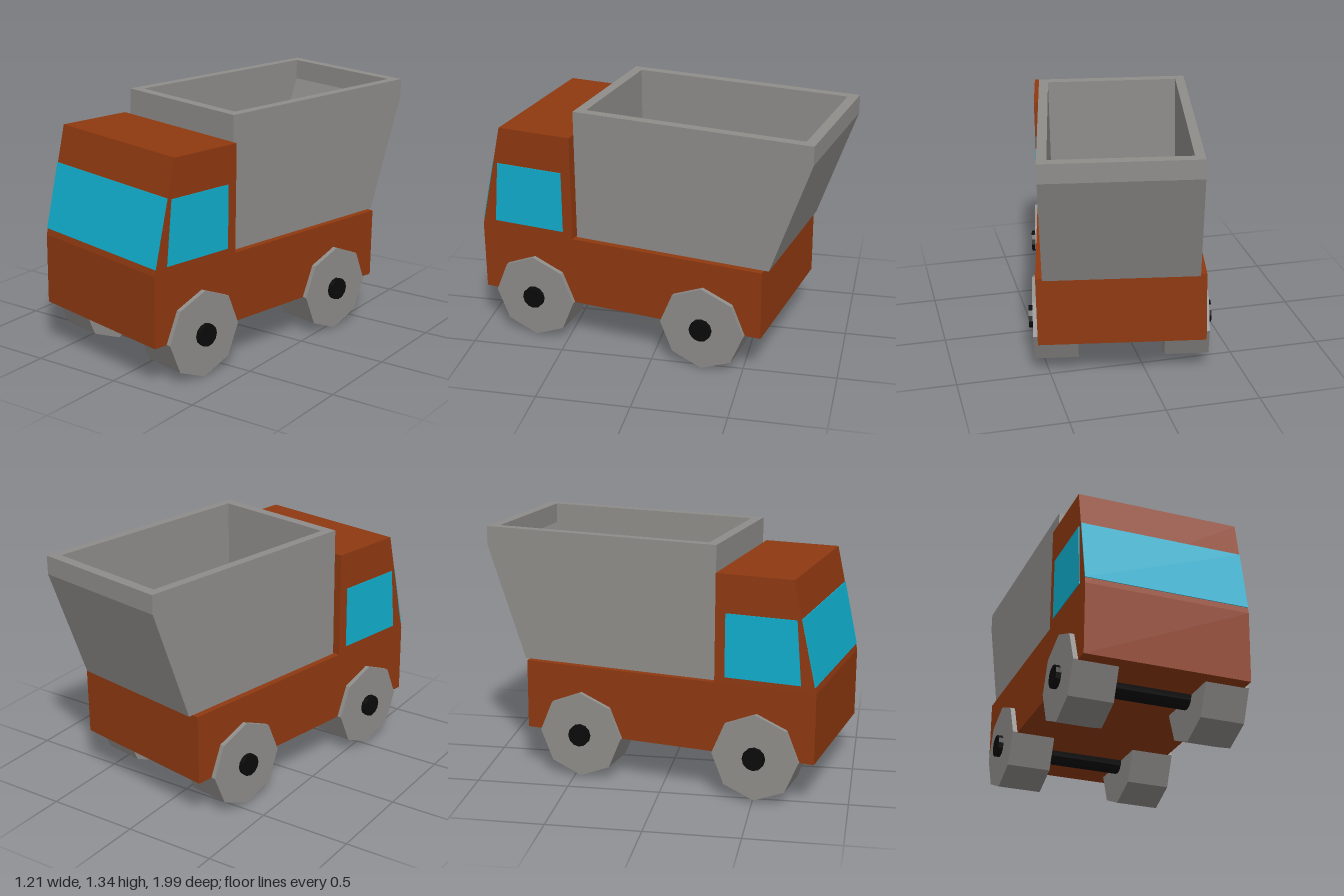
import * as THREE from 'three';

const mat = (name, color) => {
  const m = new THREE.MeshStandardMaterial({ color });
  m.name = name;
  return m;
};

// Extrude a side profile of [z, y] points across x, centred on x = 0
function across(points, width) {
  const shape = new THREE.Shape(points.map(([z, y]) => new THREE.Vector2(z, y)));
  const g = new THREE.ExtrudeGeometry(shape, { depth: width, bevelEnabled: false });
  return g.translate(0, 0, -width / 2).rotateY(-Math.PI / 2);
}

// Faceted cylinder lying along x
function roller(radius, length, sides) {
  const g = new THREE.CylinderGeometry(radius, radius, length, sides).rotateZ(Math.PI / 2).toNonIndexed();
  g.computeVertexNormals();
  return g;
}

export function createModel() {
  const orange = mat('burnt orange paint', 0x8f3910);
  const grey = mat('grey', 0x8f8d8a);
  const glass = mat('blue glass', 0x10aecd);
  const black = mat('black', 0x0a0a0a);

  const truck = new THREE.Group();
  truck.name = 'dumpTruck';
  const add = (name, geometry, material, x = 0, y = 0, z = 0) => {
    const mesh = new THREE.Mesh(geometry, material);
    mesh.name = name;
    mesh.position.set(x, y, z);
    truck.add(mesh);
  };

  // Chassis and cab in one profile
  const W = 0.876;
  add('cabAndChassis', across([
    [-0.81, 0.24], [0.81, 0.24], [0.81, 0.62], [0.68, 1.2],
    [0.265, 1.2], [0.265, 0.62], [-0.81, 0.62],
  ], W), orange);

  // Windscreen on the sloping front
  const slope = (y) => 0.81 - 0.13 * (y - 0.62) / 0.58;
  const [lo, hi] = [0.655, 1.003];
  add('windscreen', across([
    [slope(lo) - 0.002, lo], [slope(lo) + 0.004, lo],
    [slope(hi) + 0.004, hi], [slope(hi) - 0.002, hi],
  ], W), glass);

  // Side windows
  const pane = across([[0.321, 0.655], [0.729, 0.655], [0.7, 0.995], [0.321, 0.995]], 0.008);
  for (const s of [1, -1]) add(s > 0 ? 'leftWindow' : 'rightWindow', pane, glass, s * W / 2);

  // Open tipper bin: side walls, then front wall, floor and sloping tail
  const T = 0.05, half = 0.403, top = 1.336;
  const outer = [[-0.835, 0.62], [0.255, 0.62], [0.255, top], [-1.05, top], [-1.05, 1.235]];
  const side = across(outer, T);
  for (const s of [1, -1]) add(s > 0 ? 'binLeftWall' : 'binRightWall', side, grey, s * (half - T / 2));
  add('binFloorAndEnds', across([
    [-0.835, 0.62], [0.255, 0.62], [0.255, top], [0.2, top], [0.2, 0.65],
    [-0.785, 0.65], [-0.995, 1.225], [-0.995, top], [-1.05, top], [-1.05, 1.235],
  ], 2 * (half - T)), grey);

  // Wheels and axles
  const wheel = roller(0.235, 0.235, 8);
  const axle = roller(0.06, 0.98, 12);
  for (const [end, z] of [['front', 0.498], ['rear', -0.488]]) {
    add(end + 'Axle', axle, black, 0, 0.242, z);
    for (const s of [1, -1]) {
      add(end + (s > 0 ? 'LeftWheel' : 'RightWheel'), wheel, grey, s * 0.346, 0.242, z);
    }
  }

  // Parked at a slight angle with a small lean
  truck.rotation.set(0, -0.196, -0.0155);
  truck.position.set(-0.01, 0, 0.11);

  const model = new THREE.Group();
  model.name = 'model';
  model.add(truck);
  return model;
}
